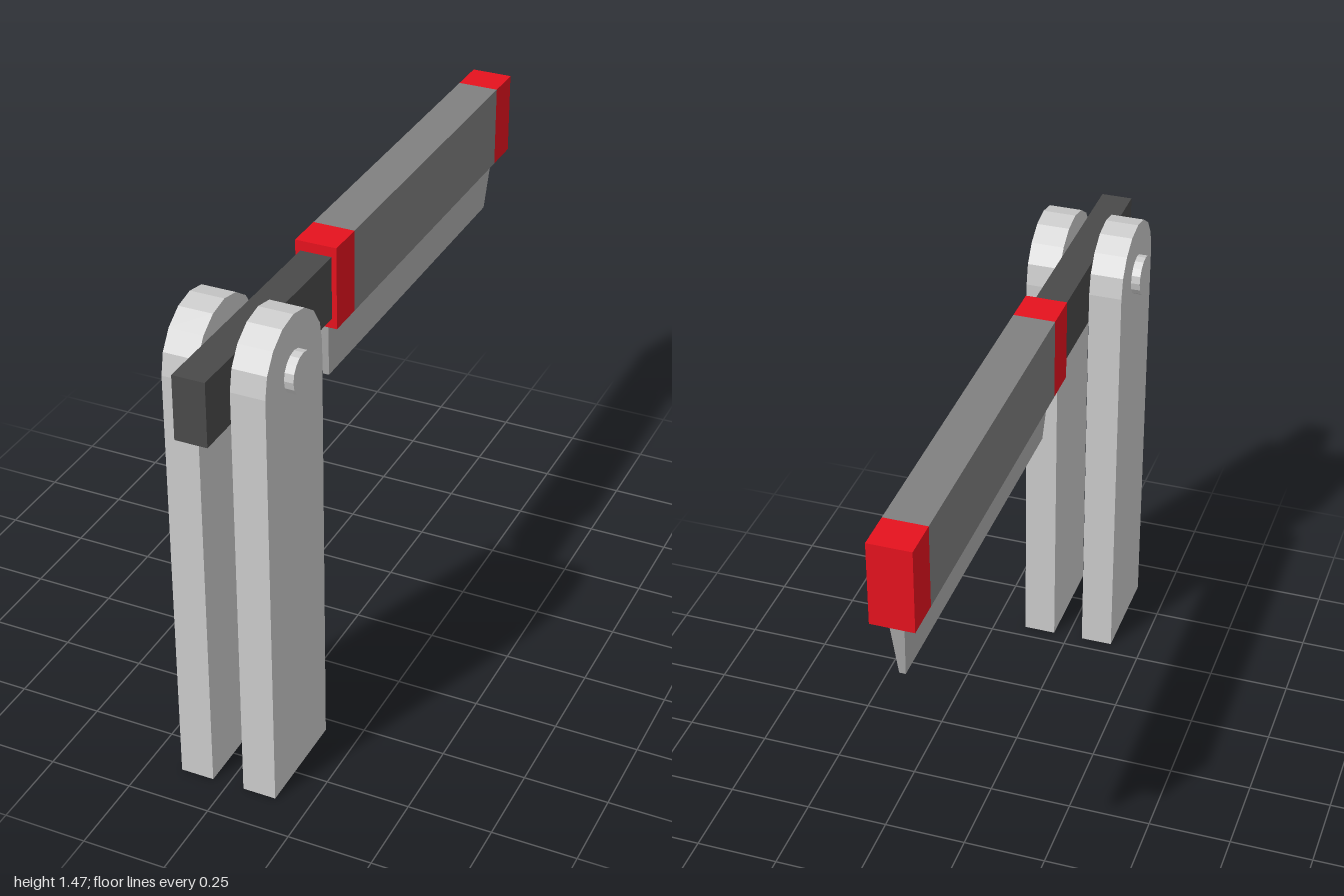
import * as THREE from 'three';

const PIVOT_Y = 1.305, PIVOT_Z = 0.71, RADIUS = 0.165;

const material = (color) =>
  new THREE.MeshStandardMaterial({ color, flatShading: true, side: THREE.DoubleSide });

export function createModel() {
  const model = new THREE.Group();
  const grey = material(0xcccccc), dark = material(0x4a4a4a);
  const mid = material(0x808080), red = material(0xe6121e), steel = material(0xb0b0b0);

  function add(name, geometry, mat, x = 0, y = 0, z = 0) {
    const mesh = new THREE.Mesh(geometry, mat);
    mesh.name = name;
    mesh.position.set(x, y, z);
    model.add(mesh);
    return mesh;
  }

  // box given by its full width and its y and z ranges
  function block(name, mat, width, y0, y1, z0, z1) {
    return add(name, new THREE.BoxGeometry(width, y1 - y0, z1 - z0), mat,
      0, (y0 + y1) / 2, (z0 + z1) / 2);
  }

  // upright posts: round-topped slabs, hollow and open at the foot
  const outline = new THREE.Shape();
  outline.moveTo(-RADIUS, 0);
  outline.lineTo(RADIUS, 0);
  for (let i = 0; i <= 8; i++) {
    const a = (i / 8) * Math.PI;
    outline.lineTo(RADIUS * Math.cos(a), PIVOT_Y + RADIUS * Math.sin(a));
  }
  outline.closePath();
  const slab = new THREE.ExtrudeGeometry(outline, { depth: 0.1, bevelEnabled: false });
  const source = slab.getAttribute('position').array;
  const kept = [];
  for (let i = 0; i < source.length; i += 9) {
    const onFloor = [1, 4, 7].every((k) => Math.abs(source[i + k]) < 1e-6);
    if (!onFloor) kept.push(...source.slice(i, i + 9));
  }
  const postGeometry = new THREE.BufferGeometry();
  postGeometry.setAttribute('position', new THREE.Float32BufferAttribute(kept, 3));
  postGeometry.translate(0, 0, -0.05);
  postGeometry.rotateY(Math.PI / 2);
  postGeometry.computeVertexNormals();
  add('leftPost', postGeometry, grey, 0.098, 0, PIVOT_Z);
  add('rightPost', postGeometry, grey, -0.098, 0, PIVOT_Z);

  // pivot pin through both posts
  const pin = new THREE.CylinderGeometry(0.06, 0.06, 0.35, 16);
  pin.rotateZ(Math.PI / 2);
  add('pivotPin', pin, grey, 0, PIVOT_Y, PIVOT_Z);

  // swinging arm with its red-ended head
  block('arm', dark, 0.094, 1.21, 1.4, 0.2, 1);
  block('head', mid, 0.124, 1.18, 1.43, -0.885, 0.158);
  block('frontHeadCap', red, 0.124, 1.18, 1.43, 0.158, 0.273);
  block('rearHeadCap', red, 0.124, 1.18, 1.43, -1, -0.885);

  // blade tapering towards its lower edge
  const blade = new THREE.BoxGeometry(0.044, 0.19, 1.215);
  const p = blade.getAttribute('position');
  for (let i = 0; i < p.count; i++) {
    if (p.getY(i) < 0) {
      p.setX(i, Math.sign(p.getX(i)) * 0.009);
      p.setZ(i, Math.sign(p.getZ(i)) * 0.578);
    }
  }
  blade.computeVertexNormals();
  add('blade', blade, steel, 0, 1.085, -0.363);

  return model;
}
